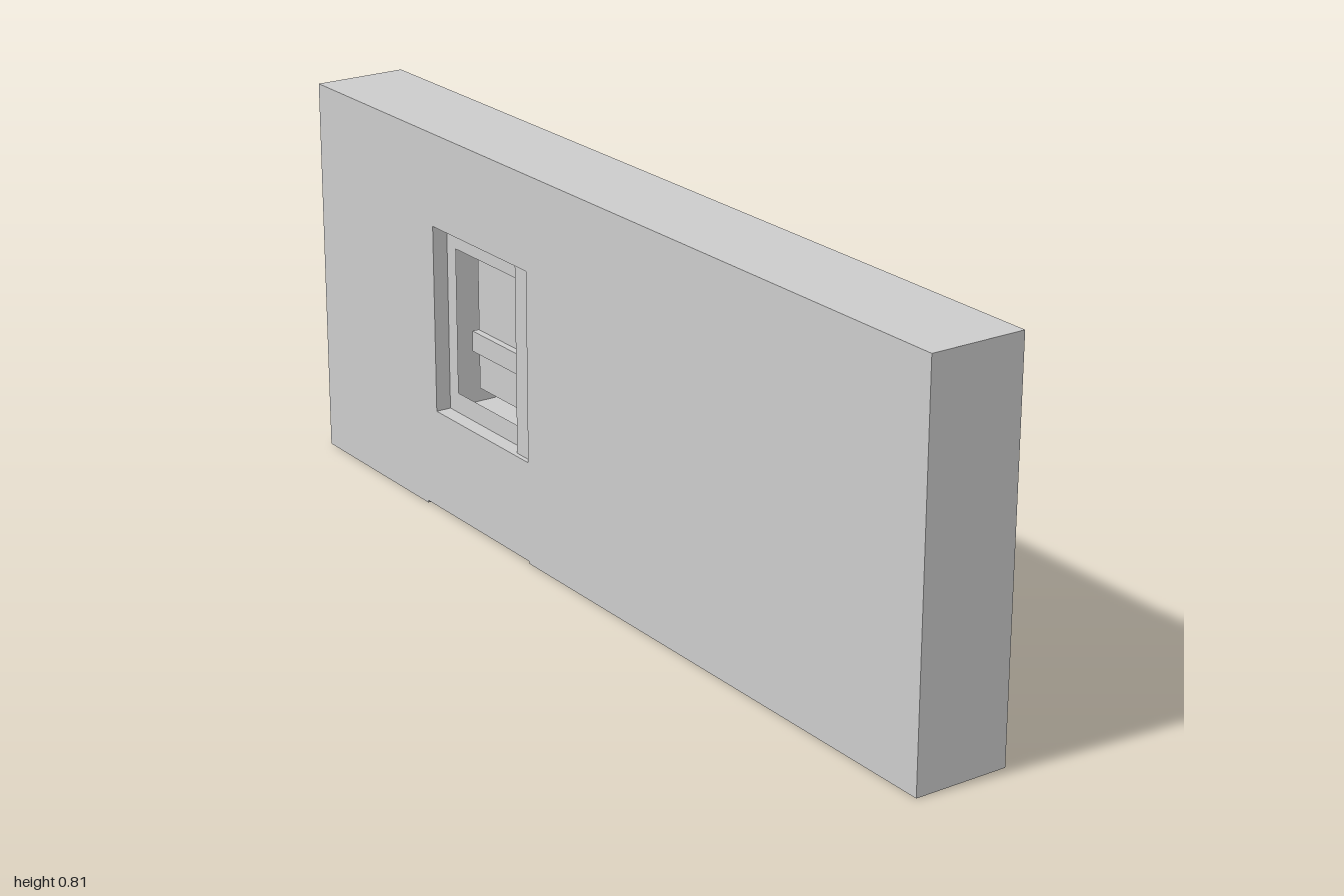
import * as THREE from 'three';

const material = new THREE.MeshStandardMaterial({ color: 0xcccccc });

// Box given by its limits on each axis
function block(name, [x0, x1], [y0, y1], [z0, z1]) {
  const mesh = new THREE.Mesh(new THREE.BoxGeometry(x1 - x0, y1 - y0, z1 - z0), material);
  mesh.name = name;
  mesh.position.set((x0 + x1) / 2, (y0 + y1) / 2, (z0 + z1) / 2);
  return mesh;
}

// Rectangular ring in the y-z plane, as thick as the x range
function ring(name, [x0, x1], outer, inner) {
  const corners = ([y0, y1, z0, z1]) => [[-z0, y0], [-z1, y0], [-z1, y1], [-z0, y1]].map(p => new THREE.Vector2(...p));
  const shape = new THREE.Shape(corners(outer));
  shape.holes.push(new THREE.Path(corners(inner)));
  const geometry = new THREE.ExtrudeGeometry(shape, { depth: x1 - x0, bevelEnabled: false });
  geometry.rotateY(Math.PI / 2).translate(x0, 0, 0);
  const mesh = new THREE.Mesh(geometry, material);
  mesh.name = name;
  return mesh;
}

export function createModel() {
  const model = new THREE.Group();
  model.name = 'wallWithWindow';

  // Wall sections around the opening
  const wall = new THREE.Group();
  wall.name = 'wall';
  const thick = [-0.1, 0.1], bay = [-0.595, -0.21];
  wall.add(
    block('longWallSection', thick, [0, 0.81], [-0.21, 1]),
    block('shortWallSection', thick, [0, 0.81], [-1, -0.595]),
    block('wallBelowWindow', thick, [0.005, 0.165], bay),
    block('wallAboveWindow', thick, [0.65, 0.81], bay),
  );

  // Fixed frame: a narrow slit stays open beside the near stile
  const frame = new THREE.Group();
  frame.name = 'windowFrame';
  frame.add(
    block('frameSill', [-0.1, 0.068], [0.165, 0.217], bay),
    block('frameHead', [-0.1, 0.068], [0.615, 0.65], [-0.555, -0.21]),
    block('frameFarStile', [-0.1, 0.065], [0.217, 0.65], [-0.595, -0.553]),
    block('frameNearStile', [-0.09, 0.062], [0.217, 0.615], [-0.265, -0.223]),
  );

  // Sash with pane and middle rail
  const sash = new THREE.Group();
  sash.name = 'windowSash';
  sash.add(
    ring('sashFrame', [-0.067, 0.033], [0.217, 0.615, -0.553, -0.265], [0.26, 0.57, -0.52, -0.295]),
    block('windowPane', [-0.015, 0.002], [0.26, 0.57], [-0.52, -0.295]),
    block('middleRail', [-0.03, 0.01], [0.343, 0.387], [-0.522, -0.293]),
  );

  model.add(wall, frame, sash);
  return model;
}
